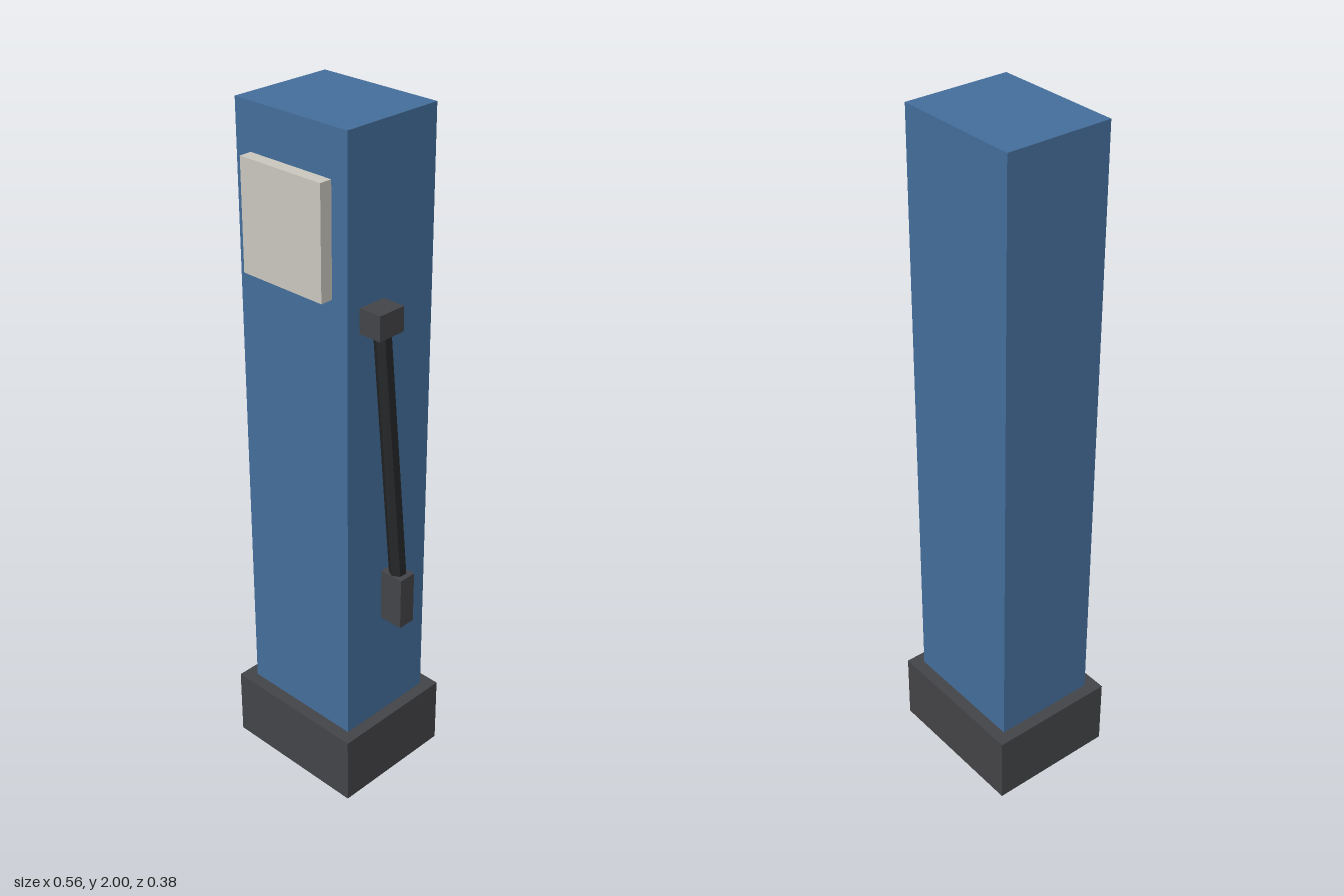
import * as THREE from 'three';

const material = (color, flatShading = false) => new THREE.MeshStandardMaterial({ color, flatShading });

// Box given by its [min, max] extents on each axis
function box(name, [x0, x1], [y0, y1], [z0, z1], mat) {
  const mesh = new THREE.Mesh(new THREE.BoxGeometry(x1 - x0, y1 - y0, z1 - z0), mat);
  mesh.name = name;
  mesh.position.set((x0 + x1) / 2, (y0 + y1) / 2, (z0 + z1) / 2);
  return mesh;
}

// Straight hexagonal rod between two points
function rod(name, from, to, radius, mat) {
  const axis = new THREE.Vector3().subVectors(to, from);
  const mesh = new THREE.Mesh(new THREE.CylinderGeometry(radius, radius, axis.length(), 6), mat);
  mesh.name = name;
  mesh.position.addVectors(from, to).multiplyScalar(0.5);
  mesh.quaternion.setFromUnitVectors(new THREE.Vector3(0, 1, 0), axis.normalize());
  return mesh;
}

export function createModel() {
  const group = new THREE.Group();
  group.name = 'chargingPost';

  const blue = material(0x456f9c);
  const dark = material(0x444548);
  const black = material(0x232527, true);
  const pale = material(0xccc8c0);

  // Plinth, column and display
  group.add(box('base', [-0.281, 0.174], [0, 0.21], [-0.193, 0.192], dark));
  group.add(box('column', [-0.245, 0.139], [0.21, 2], [-0.157, 0.155], blue));
  group.add(box('displayPanel', [-0.193, 0.086], [1.56, 1.87], [0.155, 0.192], pale));

  // Side socket with hanging cable and plug
  group.add(box('cableSocket', [0.139, 0.208], [1.47, 1.54], [0.025, 0.112], dark));
  group.add(rod('cable', new THREE.Vector3(0.173, 1.505, 0.069), new THREE.Vector3(0.243, 0.775, 0.069), 0.024, black));
  group.add(box('plug', [0.207, 0.279], [0.625, 0.78], [0.043, 0.095], dark));

  return group;
}
